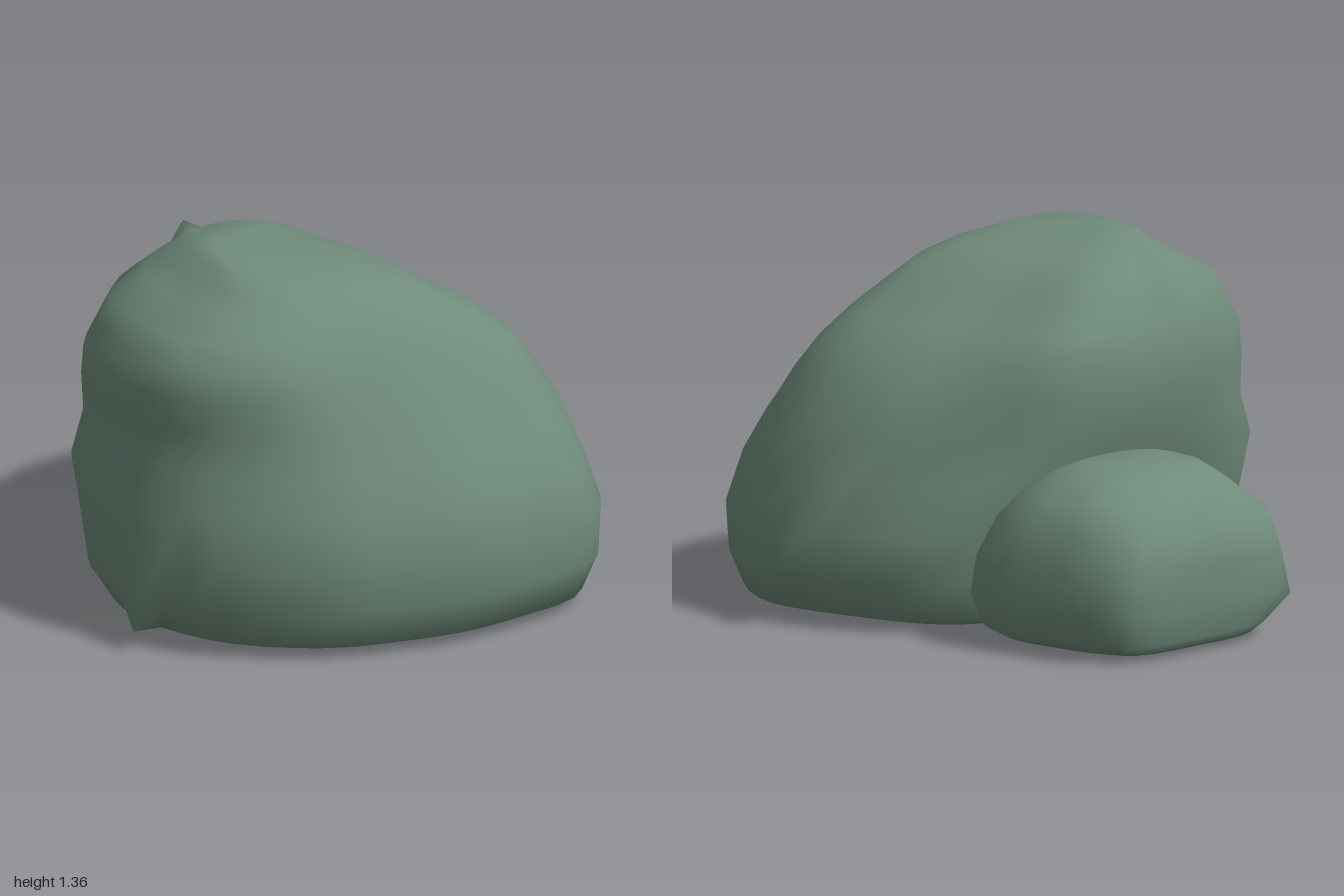
import * as THREE from 'three';

const stone = new THREE.MeshStandardMaterial({ color: 0x6f8b7b });
stone.name = 'mossy grey green';

const SIDES = 44;

// Closed outline of a boulder seen from above, scaled to -1..1 on both axes
function makeOutline(points) {
  const curve = new THREE.CatmullRomCurve3(
    points.map(([x, z]) => new THREE.Vector3(x, 0, z)), true, 'centripetal');
  const pts = Array.from({ length: SIDES }, (_, i) => curve.getPoint(i / SIDES));
  const box = new THREE.Box3().setFromPoints(pts);
  const c = box.getCenter(new THREE.Vector3());
  const s = box.getSize(new THREE.Vector3());
  return pts.map(p => [(p.x - c.x) / s.x * 2, (p.z - c.z) / s.z * 2]);
}

// Skin over rings [y, xMin, xMax, zMin, zMax, outline], capped at both ends.
// The last value picks an outline; fractions blend between neighbours.
function makeBoulder(name, outlines, rings, bottom, top, spurs, rough) {
  const pos = [], index = [];
  rings.forEach(([y, x0, x1, z0, z1, pick], r) => {
    const from = outlines[Math.floor(pick)], to = outlines[Math.ceil(pick)];
    const k = pick % 1;
    for (let i = 0; i < SIDES; i++) {
      const u = from[i][0] + (to[i][0] - from[i][0]) * k;
      const v = from[i][1] + (to[i][1] - from[i][1]) * k;
      // shallow dents and bulges
      const a = i / SIDES * Math.PI * 2;
      const n = 1 + rough * Math.sin(a * 5 + r * 1.3) * Math.cos(a * 3 - r * 1.1);
      pos.push((x0 + x1) / 2 + u * n * (x1 - x0) / 2, y,
        (z0 + z1) / 2 + v * n * (z1 - z0) / 2);
    }
  });
  // pull the nearest point out to each sharp spur
  for (const spur of spurs) {
    let best = 0, bestD = Infinity;
    for (let i = 0; i < pos.length; i += 3) {
      const d = Math.hypot(pos[i] - spur[0], pos[i + 1] - spur[1], pos[i + 2] - spur[2]);
      if (d < bestD) { bestD = d; best = i; }
    }
    spur.forEach((value, k) => { pos[best + k] = value; });
  }
  const low = pos.length / 3, high = low + 1;
  pos.push(...bottom, ...top);
  const last = (rings.length - 1) * SIDES;
  for (let i = 0; i < SIDES; i++) {
    const j = (i + 1) % SIDES;
    for (let r = 0; r < rings.length - 1; r++) {
      const a = r * SIDES + i, c = r * SIDES + j;
      index.push(a, a + SIDES, c, c, a + SIDES, c + SIDES);
    }
    index.push(low, i, j, high, last + j, last + i);
  }
  const g = new THREE.BufferGeometry();
  g.setAttribute('position', new THREE.Float32BufferAttribute(pos, 3));
  g.setIndex(index);
  g.computeVertexNormals();
  const mesh = new THREE.Mesh(g, stone);
  mesh.name = name;
  return mesh;
}

export function createModel() {
  const group = new THREE.Group();
  group.name = 'boulders';

  // Large leaning boulder: foot, waist and crown outlines
  const foot = makeOutline([
    [-0.1, -0.25], [0.3, -0.25], [0.6, -0.14], [0.8, 0.13], [0.87, 0.36], [0.88, 0.62],
    [0.71, 0.9], [0.42, 0.98], [0.18, 1], [-0.1, 0.97], [-0.42, 0.88], [-0.78, 0.6],
    [-0.91, 0.33], [-0.92, 0], [-0.82, -0.18], [-0.5, -0.25]]);
  const waist = makeOutline([
    [-0.1, -0.47], [0.15, -0.46], [0.38, -0.36], [0.71, 0], [0.84, 0.26], [0.88, 0.6],
    [0.7, 0.9], [0.4, 0.98], [0.18, 1], [-0.1, 0.97], [-0.42, 0.88], [-0.78, 0.6],
    [-0.91, 0.33], [-0.92, -0.1], [-0.81, -0.28], [-0.55, -0.41]]);
  const crown = makeOutline([
    [-0.1, -0.47], [0.13, -0.46], [0.36, -0.36], [0.49, -0.1], [0.6, 0.1], [0.65, 0.33],
    [0.57, 0.46], [0.38, 0.55], [0.1, 0.58], [-0.2, 0.58], [-0.48, 0.54], [-0.72, 0.43],
    [-0.85, 0.26], [-0.88, 0], [-0.79, -0.23], [-0.5, -0.41]]);
  group.add(makeBoulder('largeBoulder', [foot, waist, crown], [
    [0.01, -0.64, 0.66, -0.16, 0.83, 0],
    [0.045, -0.82, 0.82, -0.21, 0.94, 0],
    [0.18, -0.9, 0.88, -0.25, 0.98, 0],
    [0.36, -0.92, 0.89, -0.3, 1.0, 0.1],
    [0.55, -0.92, 0.82, -0.38, 0.96, 0.5],
    [0.7, -0.87, 0.78, -0.44, 0.88, 1],
    [0.86, -0.88, 0.69, -0.46, 0.8, 1.4],
    [0.98, -0.88, 0.6, -0.47, 0.74, 1.8],
    [1.08, -0.84, 0.48, -0.44, 0.69, 2],
    [1.17, -0.77, 0.32, -0.4, 0.63, 2],
    [1.24, -0.63, 0.22, -0.35, 0.57, 2],
    [1.29, -0.54, 0.08, -0.27, 0.49, 2],
    [1.335, -0.49, -0.14, -0.12, 0.38, 2],
  ], [0, 0, 0.35], [-0.4, 1.36, 0.04],
  [[0.94, 0.32, 0.3], [-0.95, 0.08, 0.38], [-0.71, 0.04, -0.3], [-0.28, 1.29, -0.36]], 0.012));

  // Small rounded boulder behind it
  const smallFoot = makeOutline([
    [0.08, -1], [0.42, -0.96], [0.52, -0.8], [0.58, -0.6], [0.61, -0.36], [0.54, -0.18],
    [0.3, -0.08], [0.05, -0.05], [-0.2, -0.1], [-0.37, -0.25], [-0.43, -0.45],
    [-0.4, -0.7], [-0.36, -0.92], [-0.18, -1]]);
  const smallCrown = makeOutline([
    [0.08, -0.9], [0.32, -0.84], [0.45, -0.73], [0.51, -0.58], [0.51, -0.4], [0.42, -0.25],
    [0.25, -0.19], [0.05, -0.18], [-0.16, -0.21], [-0.3, -0.31], [-0.36, -0.47],
    [-0.34, -0.65], [-0.25, -0.81], [-0.1, -0.88]]);
  group.add(makeBoulder('smallBoulder', [smallFoot, smallCrown], [
    [0.025, -0.31, 0.51, -0.95, -0.18, 0],
    [0.06, -0.37, 0.57, -0.97, -0.14, 0],
    [0.17, -0.42, 0.61, -1.0, -0.1, 0],
    [0.31, -0.43, 0.6, -1.0, -0.12, 0],
    [0.46, -0.39, 0.55, -0.99, -0.2, 0.4],
    [0.56, -0.31, 0.46, -0.87, -0.29, 0.9],
    [0.62, -0.22, 0.37, -0.8, -0.37, 1],
    [0.65, -0.13, 0.28, -0.74, -0.44, 1],
  ], [0.1, 0.02, -0.56], [0.08, 0.66, -0.59], [[-0.37, 0.15, -0.95]], 0.01));

  return group;
}
